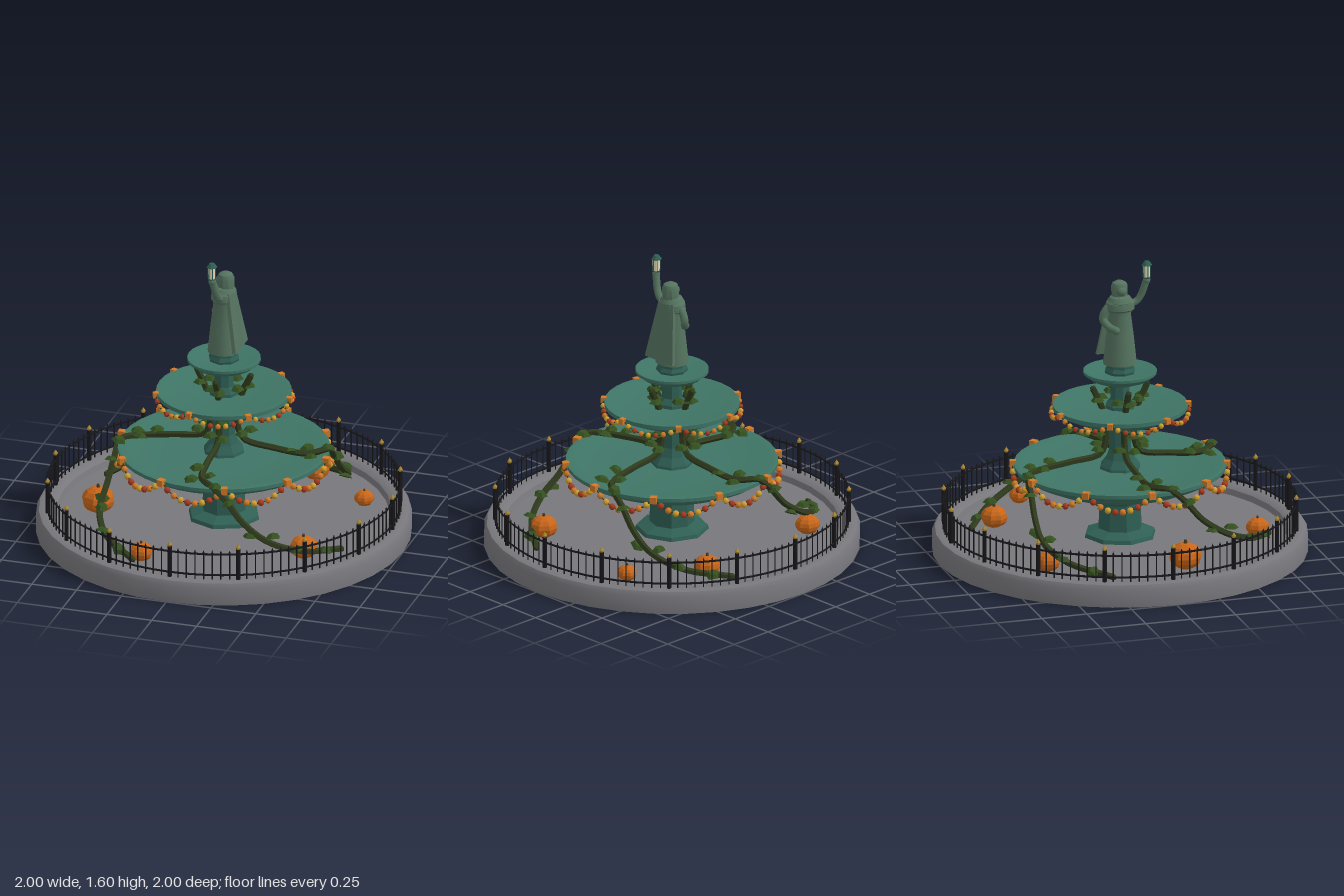
import * as THREE from 'three';
import { toCreasedNormals } from 'three/addons/utils/BufferGeometryUtils.js';

const mat = (color, extra = {}) => new THREE.MeshStandardMaterial({ color, ...extra });
const M = {
  stone: mat(0x77777c), teal: mat(0x3f7566), column: mat(0x2f5f54, { flatShading: true }),
  statue: mat(0x55735f), iron: mat(0x17171a), gold: mat(0xb08a30), glass: mat(0xf0e4c0),
  vine: mat(0x2f3a1c, { flatShading: true }), leaf: mat(0x34501f, { flatShading: true }),
  pumpkin: mat(0xc8661a, { flatShading: true }), stem: mat(0x4a3a20),
  beads: [mat(0xa83a20), mat(0xd07a28), mat(0xcfa030)],
};
const V = (x, y, z) => new THREE.Vector3(x, y, z);
// angle measured from +x towards +z
const polar = (r, a, y) => V(r * Math.cos(a), y, r * Math.sin(a));

function add(parent, name, geometry, material, pos) {
  const mesh = new THREE.Mesh(geometry, material);
  mesh.name = name;
  if (pos) mesh.position.copy(pos);
  parent.add(mesh);
  return mesh;
}
function group(parent, name) {
  const g = new THREE.Group();
  g.name = name;
  parent.add(g);
  return g;
}
const lathe = (pts, sides, crease = 0.6) => toCreasedNormals(
  new THREE.LatheGeometry(pts.map(([r, y]) => new THREE.Vector2(r, y)), sides), crease);
const tube = (pts, r, segs = 12, sides = 6) =>
  new THREE.TubeGeometry(new THREE.CatmullRomCurve3(pts), segs, r, sides, false);

// Round stone pool with a rolled rim
function buildBasin(root) {
  add(root, 'basin', lathe([[0, 0.02], [0.885, 0.02], [0.885, 0], [1, 0], [1, 0.095], [0.985, 0.12],
    [0.965, 0.125], [0.915, 0.125], [0.89, 0.11], [0.88, 0.08], [0, 0.08]], 36), M.stone);
}

// Three dishes on an eight-sided column
function buildTiers(root) {
  const g = group(root, 'tiers');
  add(g, 'column', lathe([[0.2, 0.07], [0.19, 0.1], [0.12, 0.125], [0.115, 0.27], [0.14, 0.32],
    [0.12, 0.42], [0.11, 0.47], [0.08, 0.51], [0.06, 0.56], [0.06, 0.68], [0.09, 0.73], [0.08, 0.81],
    [0.055, 0.84], [0.05, 0.92], [0.07, 0.95], [0.08, 0.98], [0.085, 1.0], [0.075, 1.02],
    [0.075, 1.06], [0, 1.06]], 8, 0.1), M.column);
  add(g, 'lowerDish', lathe([[0.12, 0.31], [0.24, 0.335], [0.4, 0.375], [0.51, 0.425], [0.545, 0.455],
    [0.565, 0.46], [0.565, 0.48], [0.545, 0.482], [0.5, 0.47], [0.3, 0.457], [0, 0.455]], 36), M.teal);
  add(g, 'middleDish', lathe([[0.08, 0.7], [0.15, 0.71], [0.26, 0.74], [0.33, 0.775], [0.36, 0.79],
    [0.36, 0.812], [0.345, 0.812], [0.3, 0.8], [0, 0.79]], 32), M.teal);
  add(g, 'upperDish', lathe([[0.06, 0.93], [0.11, 0.937], [0.16, 0.957], [0.185, 0.98], [0.196, 0.985],
    [0.196, 1.0], [0.185, 1.0], [0.15, 0.99], [0, 0.985]], 28), M.teal);
}

// Hooded figure facing -x, lifting a lantern on its +z side
function buildStatue(root) {
  const g = group(root, 'statue');
  const robe = add(g, 'robe', lathe([[0, 1.04], [0.092, 1.04], [0.088, 1.07], [0.074, 1.2], [0.06, 1.31],
    [0.062, 1.35], [0.07, 1.385], [0.055, 1.41], [0.03, 1.42], [0, 1.42]], 14), M.statue);
  robe.scale.x = 0.95;
  add(g, 'shoulderCape', lathe([[0.07, 1.335], [0.082, 1.345], [0.078, 1.38], [0.055, 1.405],
    [0.03, 1.415], [0, 1.415]], 12), M.statue).scale.x = 0.85;
  add(g, 'hood', lathe([[0.03, 1.39], [0.045, 1.41], [0.046, 1.465], [0.038, 1.485], [0.02, 1.495], [0, 1.496]], 10),
    M.statue, V(0.01, 0, 0));
  add(g, 'face', new THREE.SphereGeometry(0.03, 10, 8), M.statue, V(-0.017, 1.445, 0));

  // Cloak widens and swings away from the back towards its hem
  const cloak = new THREE.BoxGeometry(0.02, 0.32, 1, 1, 4, 4);
  const p = cloak.attributes.position;
  for (let i = 0; i < p.count; i++) {
    const t = 0.5 - p.getY(i) / 0.32, z = p.getZ(i);
    p.setX(i, p.getX(i) + 0.055 + 0.035 * t - (1 - t) * z * z * 0.08);
    p.setZ(i, z * (0.11 + 0.1 * t));
  }
  cloak.computeVertexNormals();
  add(g, 'cloak', toCreasedNormals(cloak, 0.6), M.statue, V(0, 1.23, 0));

  add(g, 'raisedArm', tube([V(0, 1.365, 0.05), V(0, 1.375, 0.09), V(-0.005, 1.41, 0.115),
    V(-0.018, 1.49, 0.14)], 0.02, 10, 8), M.statue);
  add(g, 'raisedHand', new THREE.SphereGeometry(0.022, 8, 6), M.statue, V(-0.02, 1.495, 0.142));
  add(g, 'bentArm', tube([V(0, 1.37, -0.055), V(0, 1.335, -0.085), V(0, 1.295, -0.097),
    V(-0.025, 1.255, -0.07), V(-0.06, 1.24, -0.04)], 0.021, 12, 8), M.statue);
  add(g, 'loweredHand', new THREE.SphereGeometry(0.022, 8, 6), M.statue, V(-0.06, 1.24, -0.04));

  const lamp = group(g, 'lantern');
  lamp.position.set(-0.022, 1.5, 0.142);
  add(lamp, 'lanternBase', new THREE.CylinderGeometry(0.022, 0.016, 0.012, 6), M.column, V(0, 0.008, 0));
  add(lamp, 'lanternGlass', new THREE.CylinderGeometry(0.022, 0.018, 0.07, 6), M.glass, V(0, 0.046, 0));
  add(lamp, 'lanternCap', new THREE.CylinderGeometry(0.014, 0.03, 0.022, 6), M.column, V(0, 0.09, 0));
  for (let i = 0; i < 6; i++) {
    add(lamp, 'lanternBar', new THREE.CylinderGeometry(0.003, 0.003, 0.07, 4), M.column, polar(0.021, i * Math.PI / 3, 0.046));
  }
}

// Iron railing: 16 posts with gold finials, seven pickets per bay
function buildFence(root) {
  const g = group(root, 'fence'), R = 0.94;
  const post = new THREE.CylinderGeometry(0.012, 0.012, 0.18, 6);
  const picket = new THREE.CylinderGeometry(0.004, 0.004, 0.16, 4);
  const tip = new THREE.ConeGeometry(0.007, 0.02, 4);
  const finial = lathe([[0, 0.295], [0.01, 0.3], [0.013, 0.31], [0, 0.33]], 6, 0.1);
  for (let i = 0; i < 128; i++) {
    const a = i * Math.PI / 64;
    if (i % 8 === 0) {
      add(g, 'post', post, M.iron, polar(R, a, 0.21));
      add(g, 'finial', finial, M.gold, polar(R, a, 0));
    } else {
      add(g, 'picket', picket, M.iron, polar(R, a, 0.2));
      add(g, 'picketTip', tip, M.iron, polar(R, a, 0.285));
    }
  }
  for (const y of [0.15, 0.27]) {
    add(g, 'rail', new THREE.TorusGeometry(R, 0.006, 4, 64), M.iron, V(0, y, 0)).rotation.x = Math.PI / 2;
  }
}

// Bead swags hung between evenly spaced knots
function buildGarland(root, name, R, top, sag, swags, perSwag, size) {
  const g = group(root, name);
  const bead = new THREE.SphereGeometry(size, 8, 6);
  const knot = new THREE.BoxGeometry(size * 2, size * 2, size * 2);
  const n = swags * perSwag, string = [];
  for (let i = 0; i < n; i++) {
    const t = (i % perSwag) / perSwag, a = i / n * Math.PI * 2;
    const pos = polar(R, a, top - sag * 4 * t * (1 - t));
    string.push(pos);
    if (t === 0) add(g, 'knot', knot, M.beads[1], pos).rotation.y = -a;
    else add(g, 'bead', bead, M.beads[(i * 2 + Math.floor(i / perSwag)) % 3], pos);
  }
  add(g, 'string', new THREE.TubeGeometry(new THREE.CatmullRomCurve3(string, true), n * 2, 0.004, 4, true), M.vine);
}

// One vine climbs the column, crosses the lower dish and trails over the pool
function buildVines(root) {
  const path = [[0.15, 0, 0.91], [0.1, 0, 0.8], [0.08, 0, 0.7], [0.08, 0, 0.6], [0.11, 0, 0.54],
    [0.28, 0, 0.51], [0.46, 3, 0.49], [0.555, 11, 0.492], [0.585, 19, 0.42], [0.63, 27, 0.31],
    [0.7, 37, 0.22], [0.75, 51, 0.15], [0.79, 70, 0.1]];
  const leaves = [[0.13, 6, 0.85], [0.1, -25, 0.85], [0.13, 12, 0.67], [0.12, -20, 0.59], [0.14, 15, 0.585],
    [0.38, -4, 0.52], [0.45, 8, 0.51], [0.49, -3, 0.5], [0.56, 13, 0.5], [0.6, 20, 0.42],
    [0.66, 30, 0.25], [0.7, 40, 0.25], [0.75, 49, 0.17], [0.78, 62, 0.13]];
  const leaf = new THREE.CylinderGeometry(0.024, 0.044, 0.02, 5);
  for (let k = 0; k < 4; k++) {
    const g = group(root, 'vine');
    g.rotation.y = k * Math.PI / 2;
    const at = ([r, deg, y]) => polar(r, -deg * Math.PI / 180, y);
    add(g, 'vineStem', tube(path.map(at), 0.018, 48, 5), M.vine);
    for (const i of [0, path.length - 1]) add(g, 'vineEnd', new THREE.IcosahedronGeometry(0.018, 0), M.vine, at(path[i]));
    leaves.forEach((l, i) => {
      const m = add(g, 'leaf', leaf, M.leaf, at(l));
      const tilt = i < 5 ? 0.08 : 0.3;
      m.rotation.set(tilt * Math.sin(i * 2.3), i * 1.7 + k, tilt * Math.cos(i * 1.9));
      m.scale.z = 0.85;
    });
  }
}

// Ribbed pumpkins resting on the pool floor
function buildPumpkins(root) {
  const geo = new THREE.SphereGeometry(1, 16, 8);
  const p = geo.attributes.position;
  for (let i = 0; i < p.count; i++) {
    const a = Math.atan2(p.getZ(i), p.getX(i)), s = 0.95 + 0.05 * Math.cos(8 * a);
    p.setXYZ(i, p.getX(i) * s, p.getY(i) * 0.8, p.getZ(i) * s);
  }
  geo.computeVertexNormals();
  const spots = [[-0.65, 0.16, 0.09], [-0.47, -0.55, 0.067], [0.32, -0.6, 0.073],
    [0.67, -0.35, 0.054], [0.57, 0.39, 0.076], [-0.24, 0.69, 0.063]];
  spots.forEach(([x, z, r], i) => {
    const g = group(root, 'pumpkin');
    g.position.set(x, 0.078 + 0.8 * r, z);
    g.rotation.y = i * 0.9;
    g.scale.setScalar(r);
    add(g, 'pumpkinBody', geo, M.pumpkin);
    add(g, 'pumpkinStem', new THREE.CylinderGeometry(0.08, 0.13, 0.25, 5), M.stem, V(0, 0.86, 0));
  });
}

export function createModel() {
  const root = new THREE.Group();
  root.name = 'fountain';
  buildBasin(root);
  buildTiers(root);
  buildStatue(root);
  buildFence(root);
  buildGarland(root, 'lowerGarland', 0.57, 0.475, 0.085, 10, 9, 0.018);
  buildGarland(root, 'middleGarland', 0.365, 0.8, 0.045, 7, 8, 0.015);
  buildVines(root);
  buildPumpkins(root);
  return root;
}
